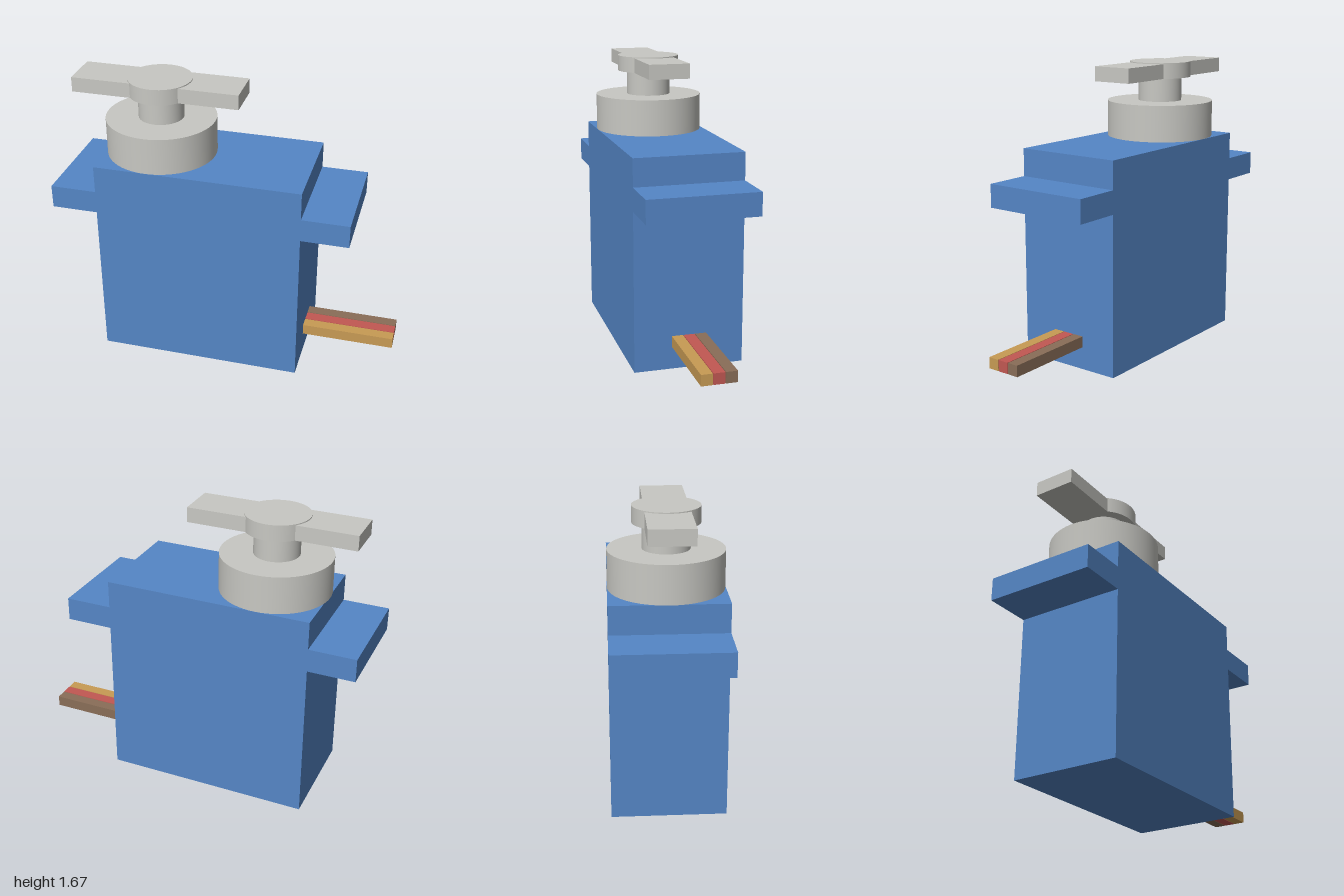
import * as THREE from 'three';

const mat = (name, color) => new THREE.MeshStandardMaterial({ name, color });

export function createModel() {
  const group = new THREE.Group();
  const blue = mat('blue casing', 0x5586c6);
  const grey = mat('light grey plastic', 0xc8c8c3);
  const wireColors = [
    ['brownWire', mat('brown', 0x8a6e58)],
    ['redWire', mat('red', 0xc25852)],
    ['orangeWire', mat('orange', 0xc89b54)],
  ];

  const add = (name, geometry, material, x, y, z) => {
    const mesh = new THREE.Mesh(geometry, material);
    mesh.name = name;
    mesh.position.set(x, y, z);
    group.add(mesh);
  };
  const box = (name, material, x0, x1, y0, y1, depth, z = 0) =>
    add(name, new THREE.BoxGeometry(x1 - x0, y1 - y0, depth), material, (x0 + x1) / 2, (y0 + y1) / 2, z);

  // Casing with its two mounting ears, as one side profile
  const depth = 0.635;
  const profile = new THREE.Shape([
    [-0.732, 0], [0.46, 0], [0.46, 0.932], [0.732, 0.932], [0.732, 1.066], [0.46, 1.066],
    [0.46, 1.226], [-0.732, 1.226], [-0.732, 1.066], [-1, 1.066], [-1, 0.932], [-0.732, 0.932],
  ].map(([x, y]) => new THREE.Vector2(x, y)));
  add('casing', new THREE.ExtrudeGeometry(profile, { depth, bevelEnabled: false }), blue, 0, 0, -depth / 2);

  // Gear housing, output shaft and horn hub share one axis
  const axisX = -0.425;
  const disc = (name, r, y0, y1) =>
    add(name, new THREE.CylinderGeometry(r, r, y1 - y0, 64), grey, axisX, (y0 + y1) / 2, 0);
  disc('gearHousing', 0.317, 1.226, 1.44);
  disc('outputShaft', 0.13, 1.44, 1.582);
  disc('hornHub', 0.184, 1.582, 1.674);

  // Two-ended horn arm
  box('hornArm', grey, -0.908, 0.058, 1.582, 1.668, 0.24);

  // Flat ribbon of three wires
  wireColors.forEach(([name, material], i) =>
    box(name, material, 0.46, 1, 0.132, 0.196, 0.064, (i - 1) * 0.068));

  return group;
}
